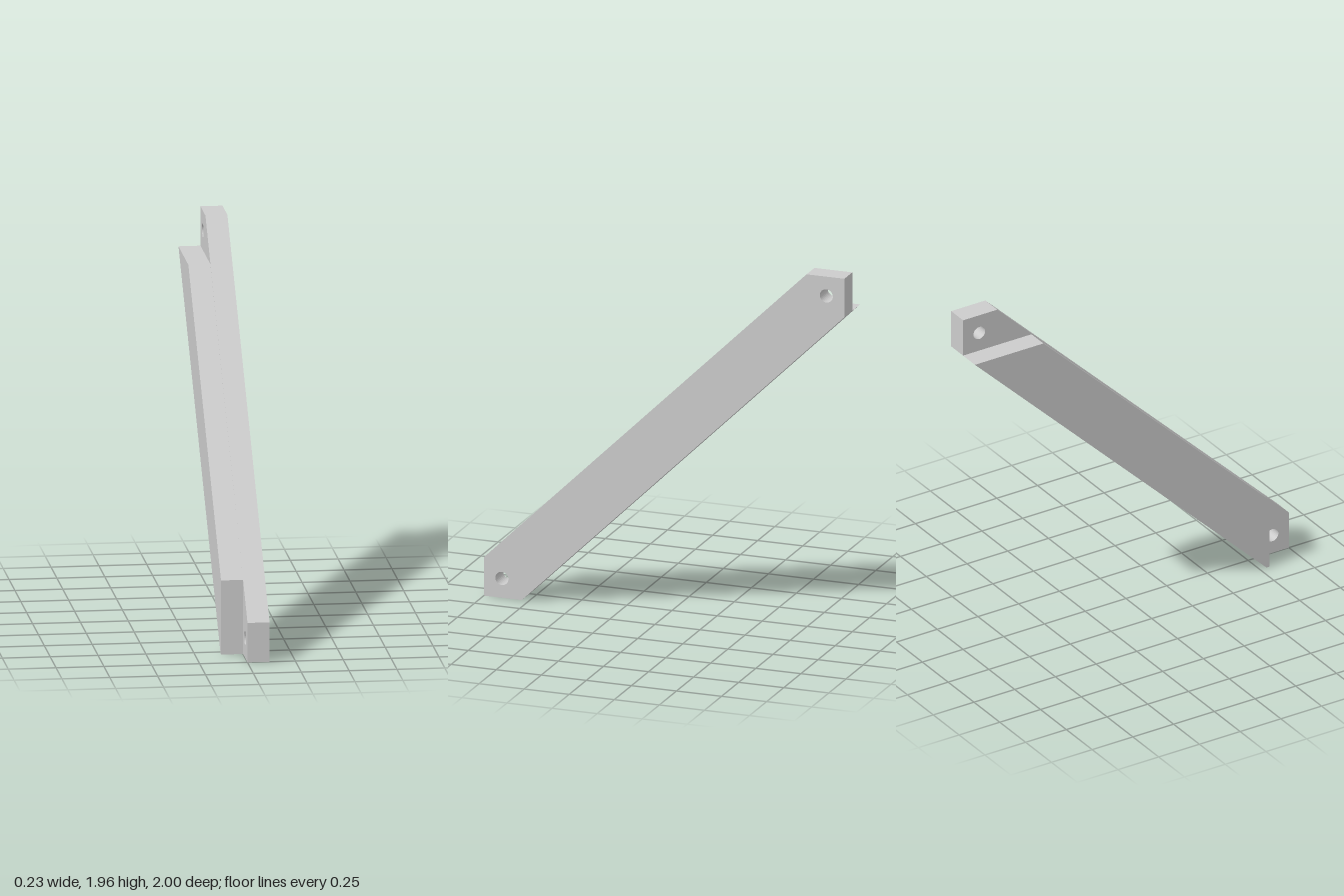
import * as THREE from 'three';

const HALF = 0.115; // half of the brace thickness
const HOLE_RADIUS = 0.036;

// Extrudes a side profile of [z, y] points across the thickness, from x = x0.
function plate(name, points, holes, x0, material) {
  const shape = new THREE.Shape(points.map(([z, y]) => new THREE.Vector2(-z, y)));
  for (const [z, y] of holes) {
    shape.holes.push(new THREE.Path().absarc(-z, y, HOLE_RADIUS, 0, Math.PI * 2, true));
  }
  const geometry = new THREE.ExtrudeGeometry(shape, { depth: HALF, bevelEnabled: false, curveSegments: 16 });
  geometry.rotateY(Math.PI / 2).translate(x0, 0, 0);
  const mesh = new THREE.Mesh(geometry, material);
  mesh.name = name;
  return mesh;
}

export function createModel() {
  const group = new THREE.Group();
  group.name = 'diagonalBrace';
  const material = new THREE.MeshStandardMaterial({ color: 0xcccccc });

  // Full-length half with a drilled tab at each end
  group.add(plate('tabbedHalf',
    [[1, 0], [0.79, 0], [-1, 1.75], [-1, 1.96], [-0.79, 1.96], [1, 0.21]],
    [[0.9, 0.105], [-0.9, 1.855]], 0, material));

  // Shorter half, cut upright at the bottom and level at the top for the lap joints
  group.add(plate('notchedHalf',
    [[0.81, 0], [0.79, 0], [-1, 1.75], [-0.58, 1.75], [0.81, 0.395]],
    [], -HALF, material));

  return group;
}
